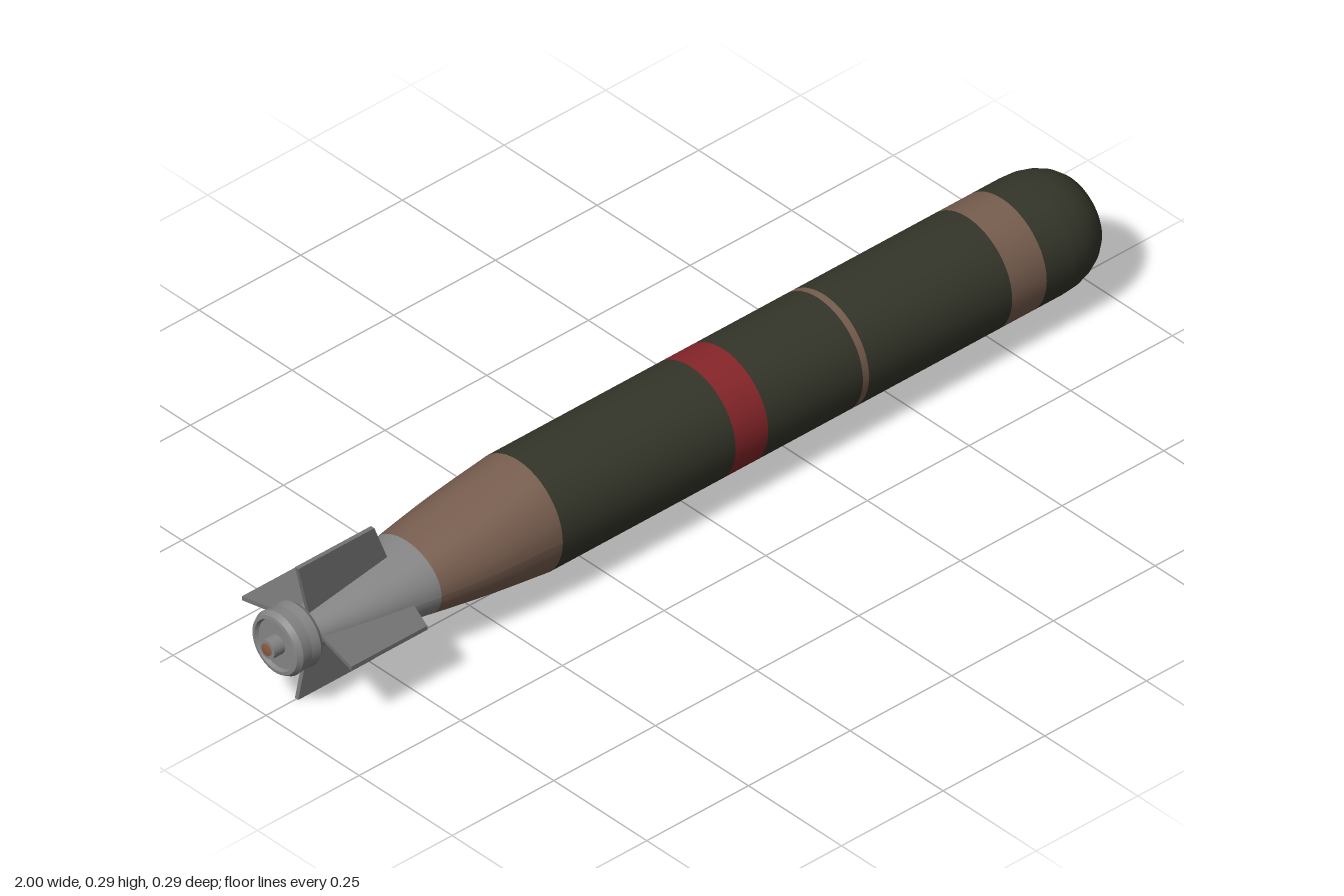
import * as THREE from 'three';

const AXIS = 0.15, R = 0.12, SEG = 48;

const paint = (name, color) => {
  const m = new THREE.MeshStandardMaterial({ color });
  m.name = name;
  return m;
};

export function createModel() {
  const olive = paint('olive', 0x35362a);
  const brown = paint('brown', 0x785e4f);
  const red = paint('red', 0x88262a);
  const grey = paint('grey', 0x858585);
  const finGrey = paint('fin grey', 0x747474);
  const copper = paint('copper', 0x8a5a40);

  const model = new THREE.Group();
  model.name = 'torpedo';
  const body = new THREE.Group();
  body.name = 'body';
  body.position.y = AXIS;
  model.add(body);

  const add = (name, geometry, material) => {
    const mesh = new THREE.Mesh(geometry, material);
    mesh.name = name;
    body.add(mesh);
    return mesh;
  };

  // Surface turned about the long axis; points are [x, radius], rear to front
  const turned = (name, points, material) => {
    const g = new THREE.LatheGeometry(points.map(([x, r]) => new THREE.Vector2(r, x)), SEG);
    return add(name, g.rotateZ(-Math.PI / 2), material);
  };

  // Straight hull sections and painted bands
  const sections = [
    ['rearHull', -0.38, 0.045, olive],
    ['redBand', 0.045, 0.125, red],
    ['middleHull', 0.125, 0.358, olive],
    ['thinBand', 0.358, 0.373, brown],
    ['forwardHull', 0.373, 0.725, olive],
    ['noseBand', 0.725, 0.81, brown],
    ['noseHull', 0.81, 0.88, olive],
  ];
  for (const [name, a, b, material] of sections) turned(name, [[a, R], [b, R]], material);

  // Blunt rounded nose
  turned('nose', [[0.88, R], [0.91, 0.118], [0.937, 0.111], [0.96, 0.1], [0.978, 0.085],
    [0.99, 0.065], [0.997, 0.04], [1, 0]], olive);

  // Tail: straight taper in height, bowed taper in width
  const height = x => R - (-0.38 - x) * 0.163;
  const widthCurve = new THREE.SplineCurve([[-0.93, 0.035], [-0.8, 0.068], [-0.66, 0.094],
    [-0.52, 0.112], [-0.38, 0.12]].map(p => new THREE.Vector2(...p)));
  const widths = widthCurve.getPoints(60);
  const width = x => {
    const i = Math.max(1, widths.findIndex(p => p.x >= x - 1e-6));
    const a = widths[i - 1], b = widths[i];
    return a.y + (b.y - a.y) * (x - a.x) / (b.x - a.x);
  };
  const tail = (name, from, to, material) => {
    const points = [];
    for (let i = 0; i <= 8; i++) {
      const x = from + (to - from) * i / 8;
      points.push([x, height(x)]);
    }
    const g = turned(name, points, material).geometry;
    const p = g.attributes.position;
    for (let i = 0; i < p.count; i++) p.setZ(i, p.getZ(i) * width(p.getX(i)) / height(p.getX(i)));
    g.computeVertexNormals();
  };
  tail('tailTaper', -0.655, -0.38, brown);
  tail('tailCone', -0.93, -0.655, grey);

  // Four swept fins
  const outline = new THREE.Shape([[-0.895, 0.02], [-0.925, 0.147], [-0.738, 0.147], [-0.7, 0.05],
    [-0.7, 0.02]].map(p => new THREE.Vector2(...p)));
  const finGeometry = new THREE.ExtrudeGeometry(outline, { depth: 0.009, bevelEnabled: false });
  finGeometry.translate(0, 0, -0.0045);
  ['topFin', 'leftFin', 'bottomFin', 'rightFin'].forEach((name, i) => {
    add(name, finGeometry, finGrey).rotation.x = i * Math.PI / 2;
  });

  // Propulsor shroud with a shallow recessed rear face
  const shroud = [[-0.972, 0.018], [-0.972, 0.05], [-0.98, 0.053], [-0.979, 0.06], [-0.968, 0.066],
    [-0.945, 0.064], [-0.925, 0.066], [-0.916, 0.06], [-0.916, 0.028]];
  for (let i = 1; i < shroud.length; i++) turned('propulsorShroud', [shroud[i - 1], shroud[i]], grey);

  // Shaft hub and its end cap
  turned('hub', [[-0.998, 0.02], [-0.965, 0.02]], grey);
  turned('hubEnd', [[-0.998, 0.012], [-0.998, 0.02]], grey);
  turned('shaftCap', [[-1, 0], [-1, 0.0125], [-0.997, 0.0125]], copper);

  return model;
}
